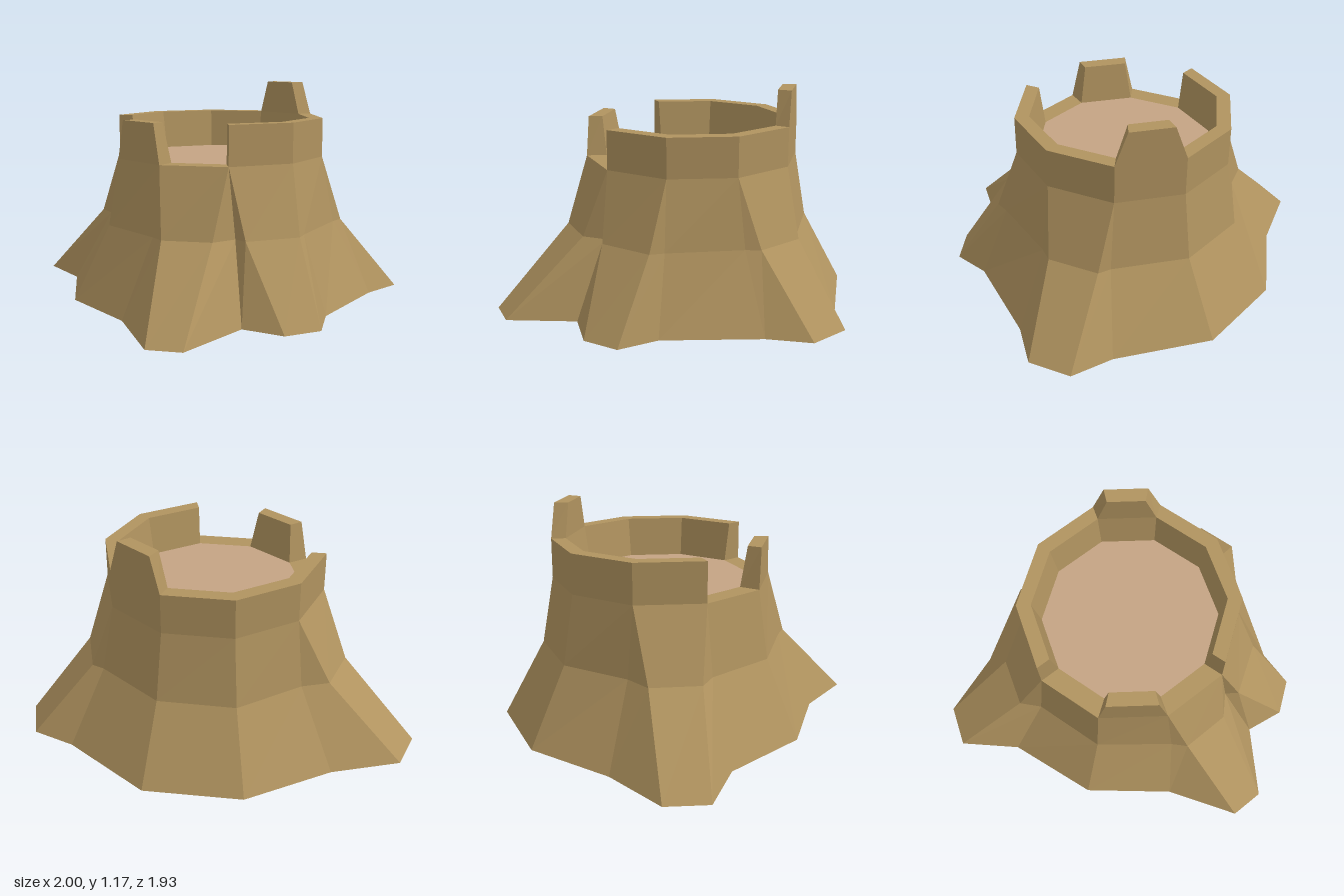
import * as THREE from 'three';

const FLOOR = 0.78, RIM = 0.99, SPIKE = 1.17, MID = 0.42;

export function createModel() {
  const group = new THREE.Group();
  const bark = new THREE.MeshStandardMaterial({ color: 0xb0935f, side: THREE.DoubleSide });
  const heartwood = new THREE.MeshStandardMaterial({ color: 0xc4a384, side: THREE.DoubleSide });

  // Corner i of a ten-sided ring, starting at the back and turning towards +x
  const ring = (i, r, y) => {
    const a = (i * Math.PI) / 5;
    return new THREE.Vector3(-0.01 + r * Math.sin(a), y, -0.108 - r * Math.cos(a));
  };
  const outer = (i, y) => ring(i, 0.582, y);
  const inner = (i, y) => ring(i, y > FLOOR ? 0.505 : 0.473, y);

  // Flat-shaded mesh from quads, corners counter-clockwise from outside
  const addMesh = (name, quads, material) => {
    const pos = [];
    const tri = (...p) => {
      const area = p[1].clone().sub(p[0]).cross(p[2].clone().sub(p[0])).length();
      if (area > 1e-6) p.forEach(v => pos.push(v.x, v.y, v.z));
    };
    quads.forEach(([a, b, c, d]) => { tri(a, b, c); tri(a, c, d); });
    const geo = new THREE.BufferGeometry();
    geo.setAttribute('position', new THREE.Float32BufferAttribute(pos, 3));
    geo.computeVertexNormals();
    const mesh = new THREE.Mesh(geo, material);
    mesh.name = name;
    group.add(mesh);
  };

  // Columns of the flared trunk: ring corner, mid x z, ground x z, ground y.
  // Columns sharing a corner form the sides of a root.
  const columns = [
    [0, -0.01, -0.755, -0.01, -0.97, 0.02],
    [1, 0.37, -0.63, 0.48, -0.82, 0.02],
    [2, 0.61, -0.30, 0.81, -0.40, 0.02],
    [2, 0.665, -0.255, 1.0, -0.255, 0.02],
    [3, 0.665, 0.02, 1.0, -0.02, 0.02],
    [3, 0.61, 0.08, 0.81, 0.13, 0.02],
    [4, 0.385, 0.42, 0.48, 0.54, 0.02],
    [4, 0.35, 0.49, 0.415, 0.745, 0.01],
    [5, 0.065, 0.57, 0.225, 0.81, 0.01],
    [5, 0.02, 0.51, 0.03, 0.715, 0.02],
    [5, -0.10, 0.575, -0.265, 0.965, 0],
    [6, -0.35, 0.50, -0.44, 0.91, 0],
    [6, -0.39, 0.42, -0.55, 0.525, 0.02],
    [7, -0.62, 0.085, -0.81, 0.125, 0.02],
    [8, -0.62, -0.30, -0.835, -0.37, 0.02],
    [8, -0.67, -0.41, -1.0, -0.655, 0.02],
    [9, -0.52, -0.625, -0.865, -0.835, 0.02],
    [9, -0.37, -0.63, -0.49, -0.845, 0.02],
  ].map(([i, mx, mz, gx, gz, gy]) => [
    new THREE.Vector3(gx, gy, gz), new THREE.Vector3(mx, MID, mz), outer(i, FLOOR),
  ]);
  const skirt = [];
  columns.forEach((a, k) => {
    const b = columns[(k + 1) % columns.length];
    for (let l = 0; l < 2; l++) skirt.push([b[l], a[l], a[l + 1], b[l + 1]]);
  });
  addMesh('trunkAndRoots', skirt, bark);

  // Wall block over one side; its top may be pulled in from both ends
  const block = (i, y0, y1, t, caps) => {
    const ends = (f, y, s) => {
      const a = f(i, y), b = f(i + 1, y);
      return [a.clone().lerp(b, s), b.clone().lerp(a, s)];
    };
    const [oa, ob] = ends(outer, y0, 0), [ia, ib] = ends(inner, y0, 0);
    const [ta, tb] = ends(outer, y1, t), [ja, jb] = ends(inner, y1, t);
    const quads = [[ob, oa, ta, tb], [ia, ib, jb, ja], [tb, ta, ja, jb]];
    if (caps[0]) quads.push([oa, ia, ja, ta]);
    if (caps[1]) quads.push([ib, ob, tb, jb]);
    return quads;
  };

  // Rim wall, broken open on two sides
  const wall = [];
  for (const i of [8, 9, 0, 1, 2, 3, 4]) wall.push(...block(i, FLOOR, RIM, 0, [i === 8, i === 4]));
  addMesh('rimWall', wall, bark);
  addMesh('tallSplinter', block(1, RIM, SPIKE, 0.18, [true, true]), bark);
  addMesh('shortSplinter', block(6, FLOOR, RIM, 0.13, [true, true]), bark);

  // Level ledges in the broken openings
  addMesh('brokenLedges', [5, 7].map(i => [
    outer(i + 1, FLOOR), outer(i, FLOOR), inner(i, FLOOR), inner(i + 1, FLOOR),
  ]), bark);

  // Cut wood surface inside the rim
  const centre = new THREE.Vector3(-0.01, FLOOR, -0.108);
  const cut = [];
  for (let i = 0; i < 10; i++) cut.push([inner(i + 1, FLOOR), inner(i, FLOOR), centre, centre]);
  addMesh('cutWood', cut, heartwood);

  return group;
}
